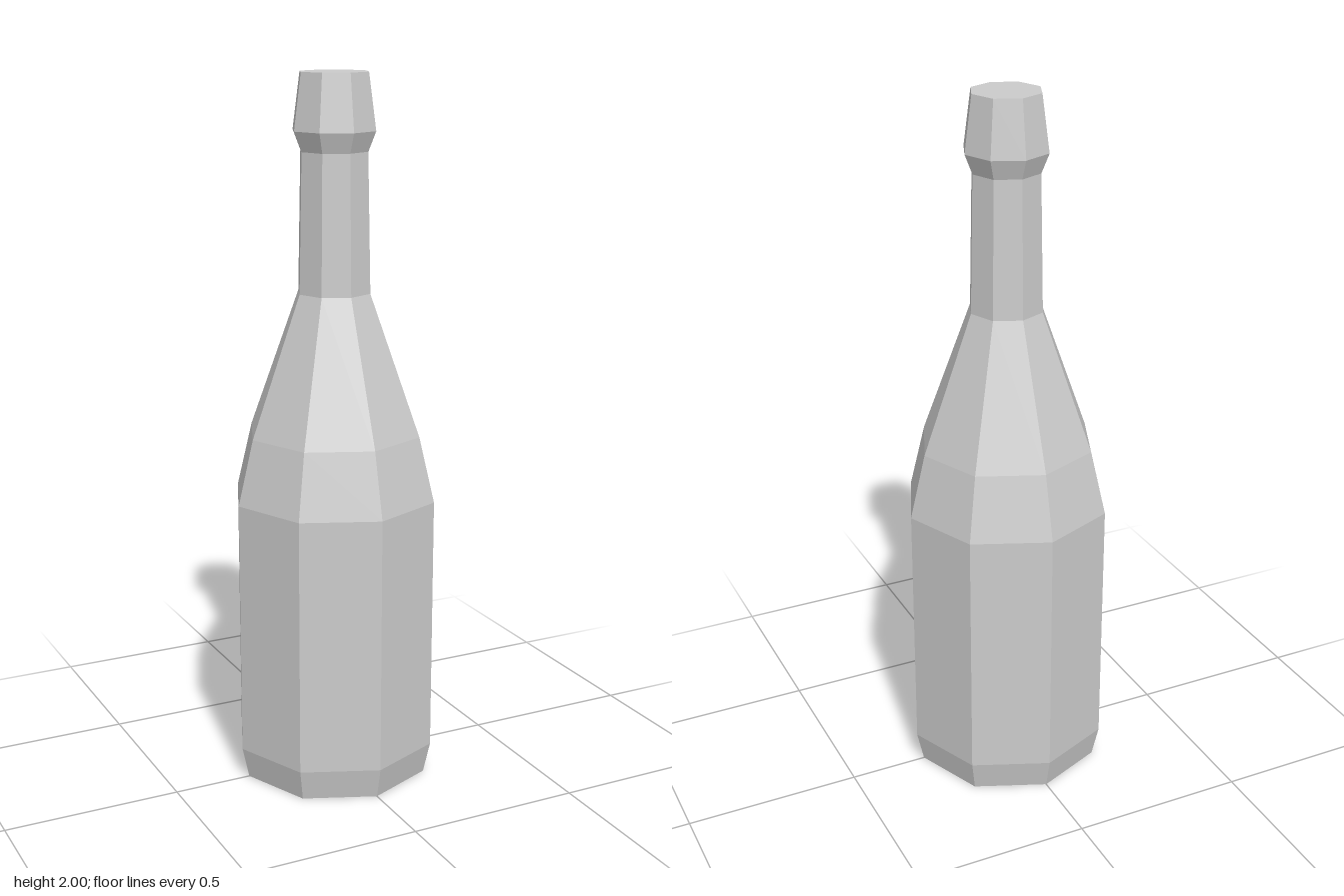
import * as THREE from 'three';

const SIDES = 8;

export function createModel() {
  const bottle = new THREE.Group();
  bottle.name = 'bottle';
  const material = new THREE.MeshStandardMaterial({ color: 0xcccccc, flatShading: true });

  // Faceted ring of surfaces from [radius, height] pairs, listed bottom to top
  function addPart(name, profile) {
    const points = profile.map(([r, y]) => new THREE.Vector2(r, y));
    const mesh = new THREE.Mesh(new THREE.LatheGeometry(points, SIDES), material);
    mesh.name = name;
    bottle.add(mesh);
  }

  // Flat base, chamfered foot and straight wall
  addPart('body', [[0, 0], [0.275, 0], [0.295, 0.09], [0.295, 0.825]]);

  // Shoulder narrowing in two steps
  addPart('shoulder', [[0.295, 0.825], [0.25, 1.01], [0.105, 1.405]]);

  // Slim, slightly tapered neck
  addPart('neck', [[0.105, 1.405], [0.097, 1.79]]);

  // Flared collar and closed top
  addPart('cap', [[0.097, 1.79], [0.119, 1.845], [0.098, 2], [0, 2]]);

  return bottle;
}
